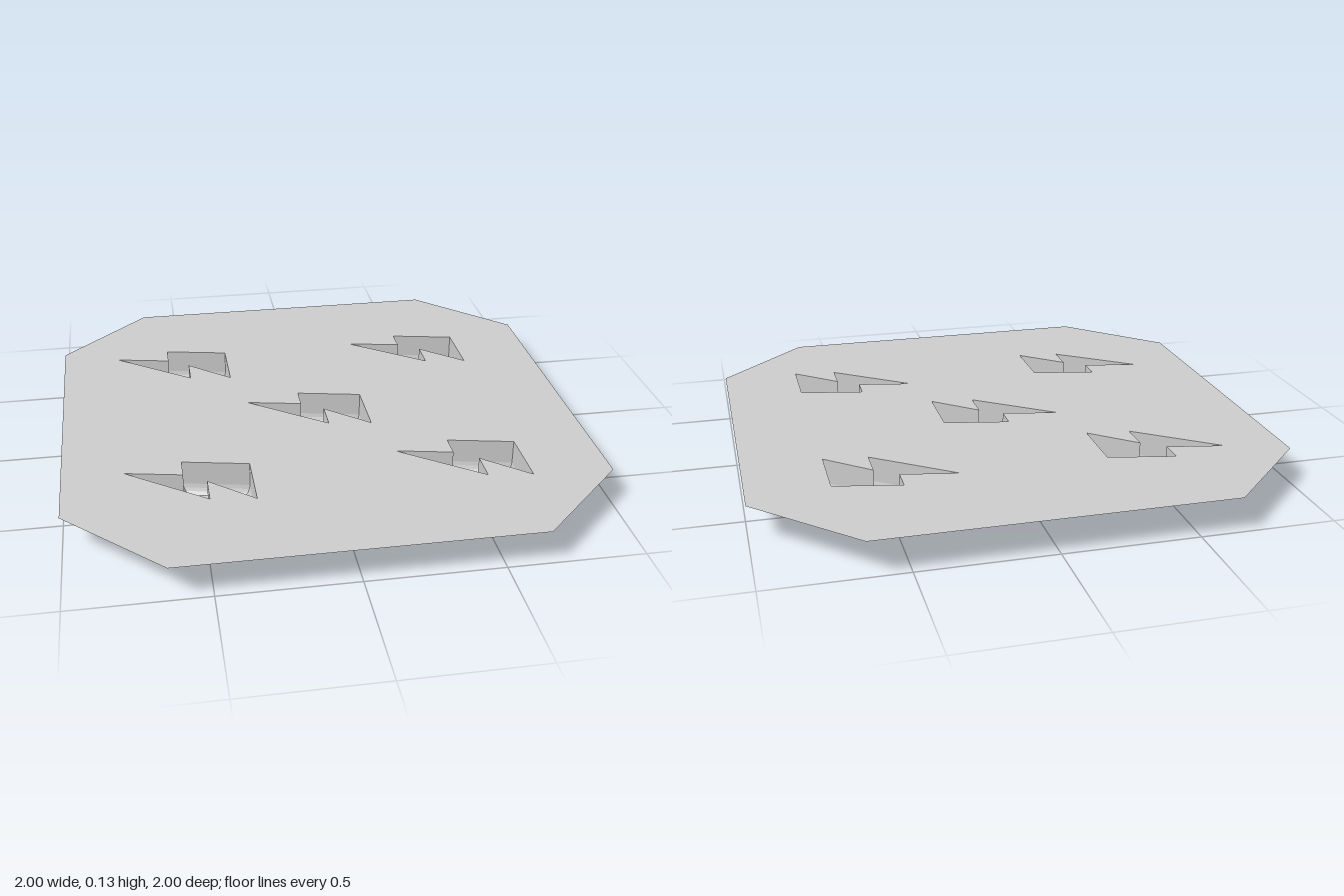
import * as THREE from 'three';

const TOP = 0.13;
const material = new THREE.MeshStandardMaterial({ color: 0xcccccc, flatShading: true, side: THREE.DoubleSide });
const toPoints = (list) => list.map(([x, y]) => new THREE.Vector2(x, y));

// Zigzag bolt outline, clockwise, in plan (x, -z)
const bolt = toPoints([
  [-0.265, 0.086], [-0.053, 0.042], [-0.053, 0.134], [0.195, 0.082],
  [0.195, -0.158], [0.03, -0.015], [0.03, -0.135],
]);
const centres = toPoints([[0, 0], [-0.507, 0.478], [0.507, 0.478], [-0.507, -0.474], [0.507, -0.474]]);

// Pocket profile: [inset from outline, height]
const profile = [[0, TOP], [0, 0.037], [0.004, 0.022], [0.01, 0.01], [0.022, 0]];

// Mitred inward offset of a clockwise outline
function inset(points, d) {
  const n = points.length;
  const normal = (a, b) => new THREE.Vector2(b.y - a.y, a.x - b.x).normalize();
  return points.map((p, i) => {
    const n1 = normal(points[(i + n - 1) % n], p);
    const n2 = normal(p, points[(i + 1) % n]);
    return n1.clone().add(n2).multiplyScalar(d / (1 + n1.dot(n2))).add(p);
  });
}

// Flat horizontal face from plan points
function flat(points, y, holes = []) {
  const shape = new THREE.Shape(points);
  shape.holes = holes.map((h) => new THREE.Path(h));
  return new THREE.ShapeGeometry(shape).rotateX(-Math.PI / 2).translate(0, y, 0);
}

// Walls lofted between the inset rings
function wallGeometry() {
  const n = bolt.length, positions = [], index = [];
  for (const [d, y] of profile) {
    for (const p of inset(bolt, d)) positions.push(p.x, y, -p.y);
  }
  for (let r = 0; r < profile.length - 1; r++) {
    for (let i = 0; i < n; i++) {
      const a = r * n + i, b = r * n + (i + 1) % n;
      index.push(a + n, b + n, b, a + n, b, a);
    }
  }
  const geometry = new THREE.BufferGeometry();
  geometry.setAttribute('position', new THREE.Float32BufferAttribute(positions, 3));
  geometry.setIndex(index);
  const faceted = geometry.toNonIndexed();
  faceted.computeVertexNormals();
  return faceted;
}

export function createModel() {
  const group = new THREE.Group();
  const add = (parent, name, geometry) => {
    const mesh = new THREE.Mesh(geometry, material);
    mesh.name = name;
    parent.add(mesh);
  };

  // Thin eight-sided sheet with the pocket openings cut out
  const c = 0.648;
  const outline = toPoints([[1, -c], [1, c], [c, 1], [-c, 1], [-1, c], [-1, -c], [-c, -1], [c, -1]]);
  const openings = centres.map((o) => bolt.map((p) => p.clone().add(o)));
  add(group, 'sheet', flat(outline, TOP, openings));

  // Five sunken pockets
  const walls = wallGeometry();
  const [floorInset, floorY] = profile[profile.length - 1];
  const floor = flat(inset(bolt, floorInset), floorY);
  for (const o of centres) {
    const pocket = new THREE.Group();
    pocket.name = 'pocket';
    add(pocket, 'pocketWalls', walls);
    add(pocket, 'pocketFloor', floor);
    pocket.position.set(o.x, 0, -o.y);
    group.add(pocket);
  }
  return group;
}
